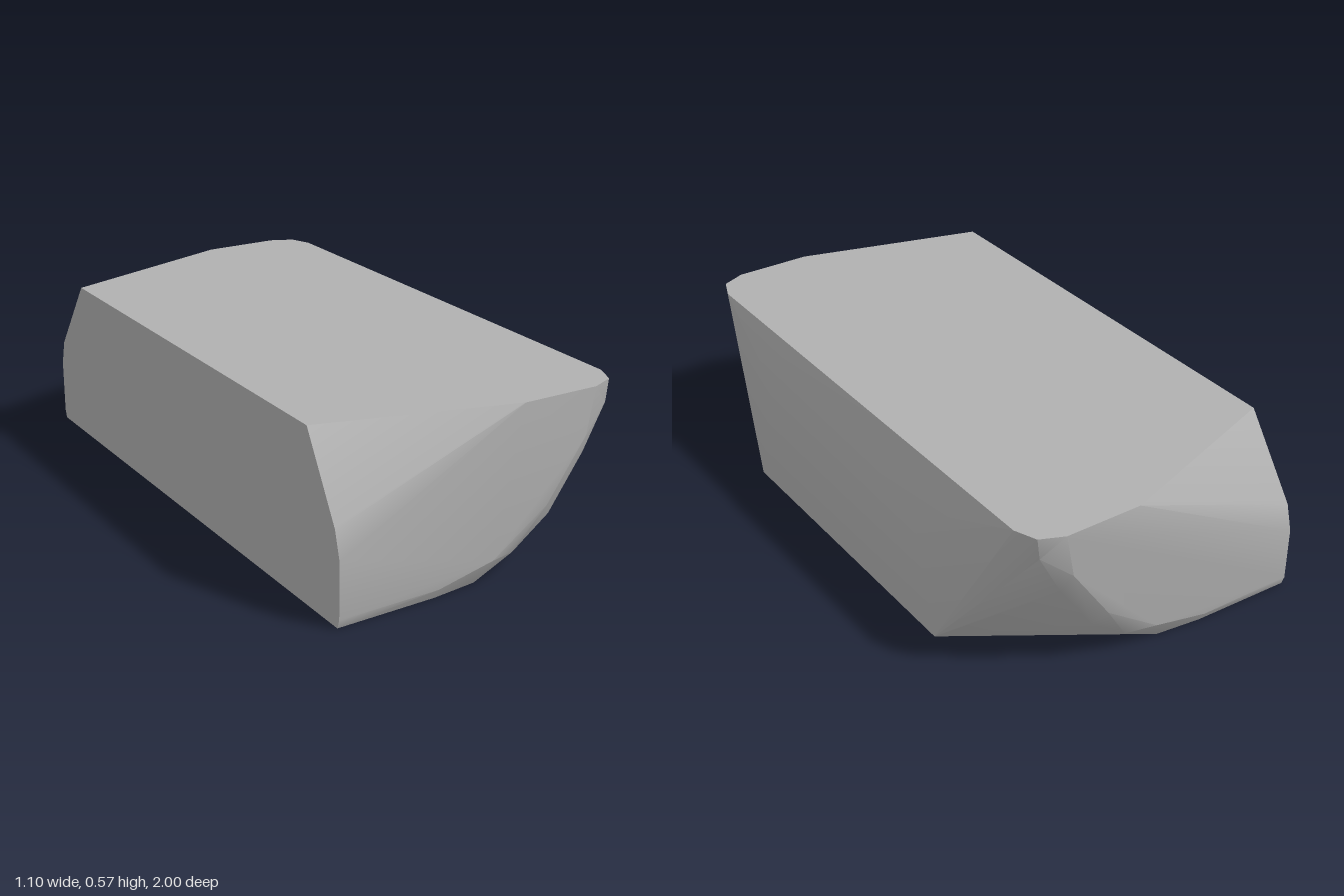
import * as THREE from 'three';
import { ConvexGeometry } from 'three/addons/geometries/ConvexGeometry.js';
import { toCreasedNormals } from 'three/addons/utils/BufferGeometryUtils.js';

export function createModel() {
  const stoneGrey = new THREE.MeshStandardMaterial({ color: 0xb0b0b0 });
  const top = 0.575;
  const points = [];

  // Each end of the block: flat end face, rounded rim and undercut corner
  for (const side of [1, -1]) {
    const chipZ = side > 0 ? 0.82 : 0.78;
    const corners = [
      // chipped upper corner on the flat long side
      [-0.55, top, chipZ], [-0.55, 0.31, 0.975], [-0.55, 0.22, 1], [0.1, top, 1],
      // rim of the end face
      [0.37, top, 1], [0.34, 0.42, 1], [0.2, 0.22, 1], [0, 0.08, 1],
      [-0.2, 0.035, 1], [-0.55, 0.03, 1],
      // outer edge of the rounded rim
      [0.45, top, 0.965], [0.44, 0.5, 0.965], [0.36, 0.35, 0.965],
      [0.235, 0.17, 0.965], [0.1, 0.07, 0.965], [-0.04, 0, 0.96],
      [-0.2, 0, 0.98], [-0.55, 0, 0.99],
      // sloped long side
      [0.48, top, 0.89], [0.55, 0.42, 0.45], [0.55, 0, 0.57],
    ];
    for (const [x, y, z] of corners) points.push(new THREE.Vector3(x, y, z * side));
  }

  const block = new THREE.Mesh(toCreasedNormals(new ConvexGeometry(points), 0.5), stoneGrey);
  block.name = 'stoneBlock';

  const model = new THREE.Group();
  model.name = 'rock';
  model.add(block);
  return model;
}
